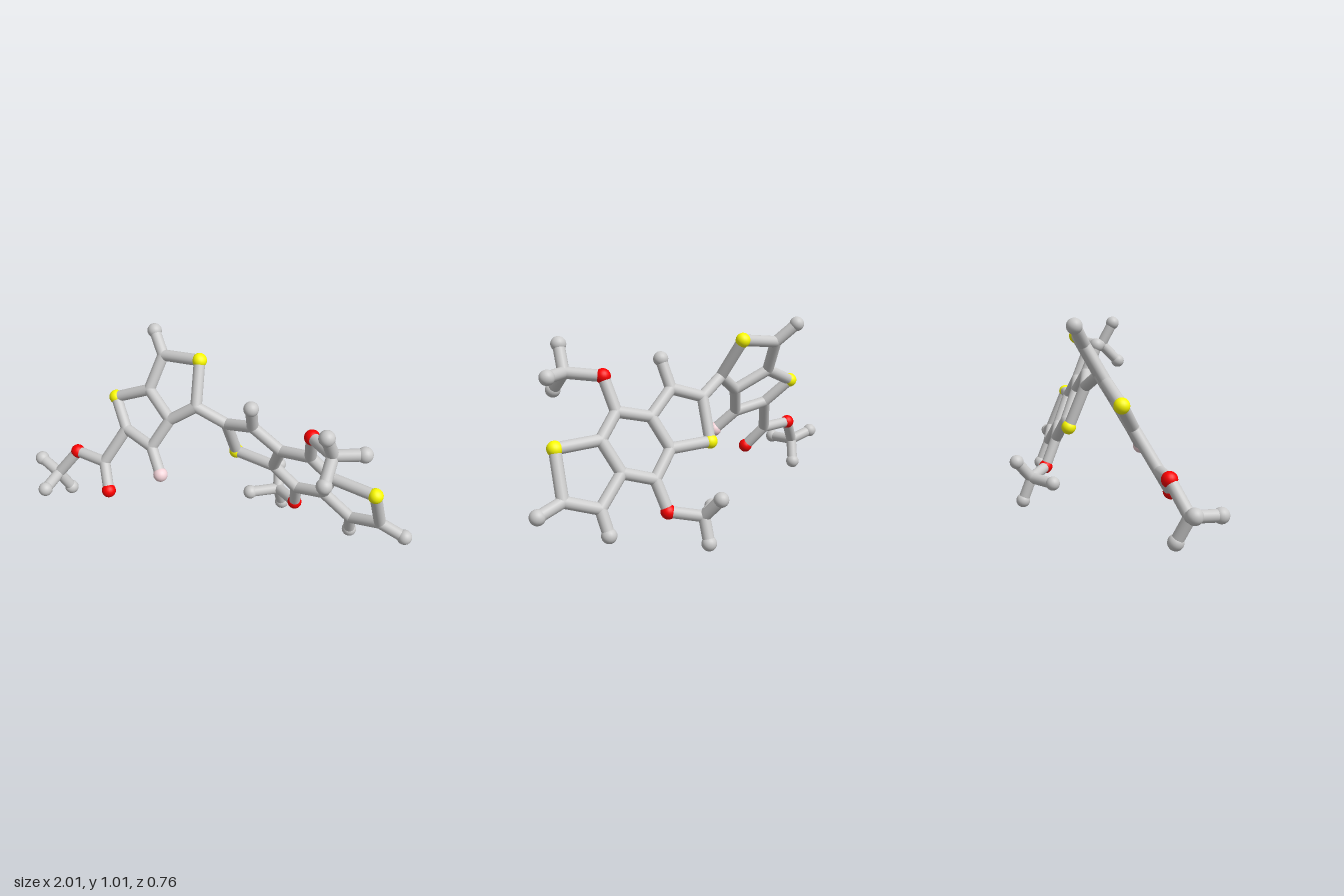
import * as THREE from 'three';

const BALL = 0.036, STICK = 0.028;
const grey = new THREE.MeshStandardMaterial({ color: 0xcccccc });
const yellow = new THREE.MeshStandardMaterial({ color: 0xffff00 });
const red = new THREE.MeshStandardMaterial({ color: 0xff0000 });
const pink = new THREE.MeshStandardMaterial({ color: 0xf5d5da });
const ballGeometry = new THREE.SphereGeometry(BALL, 20, 14);
const jointGeometry = new THREE.SphereGeometry(STICK, 20, 14);
const UP = new THREE.Vector3(0, 1, 0);

// The two flat ring systems: z follows from x and y on each tilted plane
const leftPlane = (x, y) => [x, y, 0.436 + 0.221 * x - 0.591 * y];
const rightPlane = (x, y) => [x, y, -0.314 + 0.225 * x + 0.41 * y];
const L = leftPlane, R = rightPlane;

// Bare joints, where sticks meet without a visible ball
const joints = {
  a: L(-0.342, 0.885), b: L(-0.105, 0.725), c: L(-0.235, 0.634), d: L(-0.385, 0.725),
  e: L(-0.476, 0.527), f: L(-0.31, 0.495), acid: L(-0.572, 0.35),
  g: R(0.045, 0.65), h: R(0.198, 0.705), i: R(0.337, 0.596), j: R(0.283, 0.447),
  k: R(0.497, 0.639), l: R(0.604, 0.532), m: R(0.55, 0.382), n: R(0.4, 0.329),
  o: R(0.845, 0.313), p: R(0.69, 0.254),
  hubLeft: [-0.845, 0.22, 0.125], hubTop: [0.64, 0.812, 0.25], hubLow: [0.257, 0.158, -0.262],
};

// Balls by colour
const greyBalls = {
  tipA: L(-0.417, 0.973), tipH: R(0.208, 0.84), tipO: R(0.968, 0.273), tipP: R(0.684, 0.141),
  left1: [-0.842, 0.212, 0.268], left2: [-0.966, 0.258, 0.088], left3: [-0.807, 0.105, 0.081],
  top1: [0.62, 0.932, 0.309], top2: [0.765, 0.814, 0.197], top3: [0.636, 0.716, 0.347],
  low1: [0.23, 0.253, -0.345], low2: [0.127, 0.152, -0.183], low3: [0.267, 0.039, -0.305],
};
const yellowBalls = {
  s1: L(-0.134, 0.913), s2: L(-0.572, 0.644), s3: R(0.07, 0.448), s4: R(0.818, 0.527),
};
const redBalls = {
  acidTip: [-0.513, 0.24, 0.185], acidLink: [-0.743, 0.355, 0.077],
  topLink: R(0.513, 0.795), lowLink: R(0.38, 0.184),
};
const pinkBalls = { pinkTip: L(-0.23, 0.397) };

// Chains of sticks, each joining consecutive points
const chains = {
  leftRings: ['b c d a s1 b', 'd s2 e f c'],
  rightRings: ['g h i j s3 g', 'i k l m n j', 'l s4 o p m'],
  ringLink: ['b g'],
  ringTips: ['a tipA', 'f pinkTip', 'h tipH', 'o tipO', 'p tipP'],
  leftBranch: ['e acid acidLink hubLeft left1', 'acid acidTip', 'left2 hubLeft left3'],
  topBranch: ['k topLink hubTop top1', 'top2 hubTop top3'],
  lowBranch: ['n lowLink hubLow low1', 'low2 hubLow low3'],
};

function addBalls(parent, name, places, geometry, material) {
  const group = new THREE.Group();
  group.name = name;
  for (const place of Object.values(places)) {
    const ball = new THREE.Mesh(geometry, material);
    ball.name = name.replace(/s$/, '');
    ball.position.set(...place);
    group.add(ball);
  }
  parent.add(group);
}

function makeStick(from, to) {
  const a = new THREE.Vector3(...from), b = new THREE.Vector3(...to);
  const direction = b.clone().sub(a), length = direction.length();
  const stick = new THREE.Mesh(new THREE.CylinderGeometry(STICK, STICK, length, 20, 1, true), grey);
  stick.name = 'stick';
  stick.position.copy(a).add(b).multiplyScalar(0.5);
  stick.quaternion.setFromUnitVectors(UP, direction.normalize());
  return stick;
}

export function createModel() {
  const model = new THREE.Group();
  model.name = 'ballAndStickMolecule';

  addBalls(model, 'joints', joints, jointGeometry, grey);
  addBalls(model, 'greyBalls', greyBalls, ballGeometry, grey);
  addBalls(model, 'yellowBalls', yellowBalls, ballGeometry, yellow);
  addBalls(model, 'redBalls', redBalls, ballGeometry, red);
  addBalls(model, 'pinkBalls', pinkBalls, ballGeometry, pink);

  // Sticks
  const points = { ...joints, ...greyBalls, ...yellowBalls, ...redBalls, ...pinkBalls };
  for (const [name, lines] of Object.entries(chains)) {
    const group = new THREE.Group();
    group.name = name;
    for (const line of lines) {
      const keys = line.split(' ');
      for (let i = 1; i < keys.length; i++) group.add(makeStick(points[keys[i - 1]], points[keys[i]]));
    }
    model.add(group);
  }
  return model;
}
